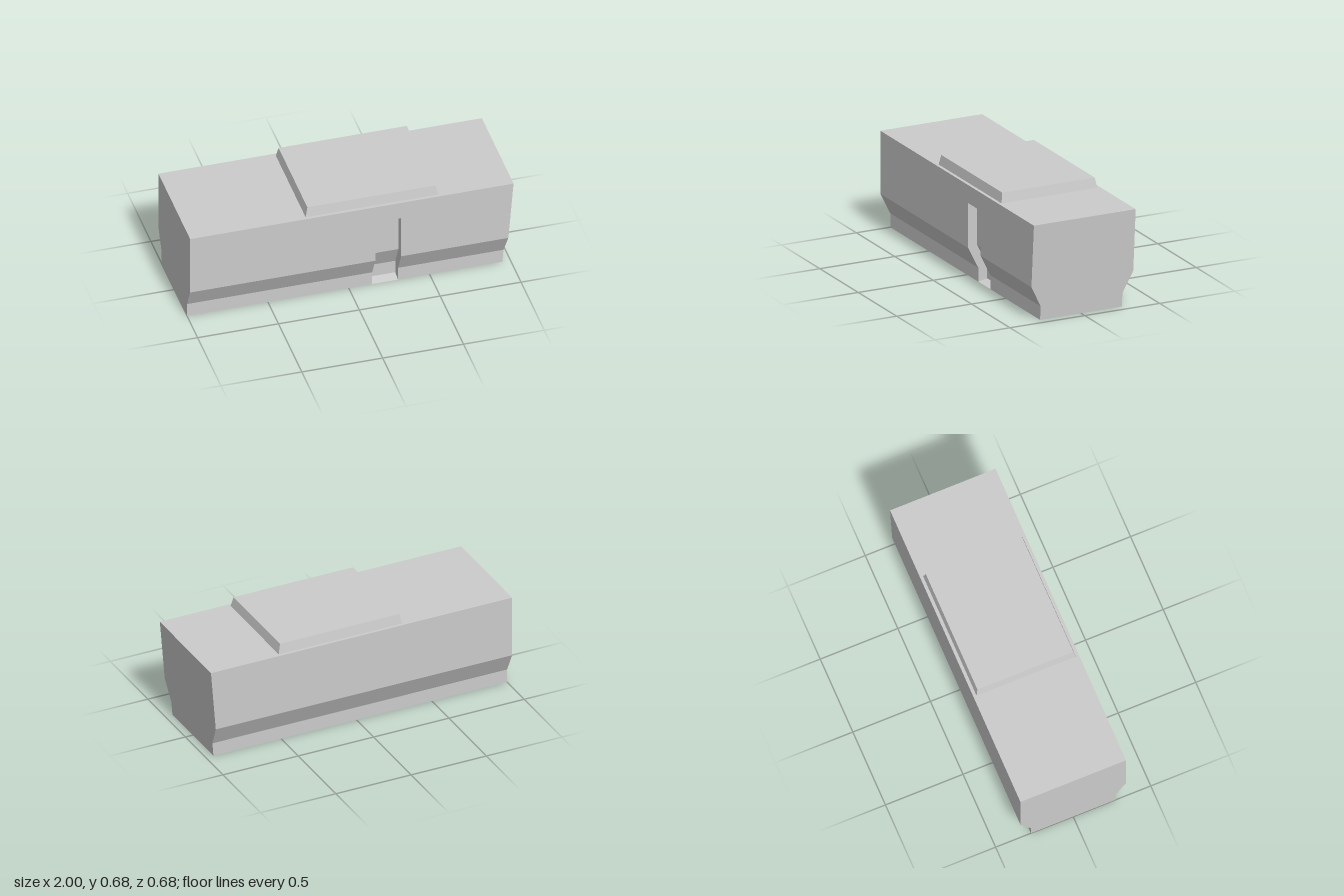
import * as THREE from 'three';

const material = new THREE.MeshStandardMaterial({ color: 0xcccccc, flatShading: true });

// Quads between two matching rails of [x, y, z] points
function strip(out, a, b) {
  for (let i = 0; i < a.length - 1; i++) {
    out.push(...a[i], ...a[i + 1], ...b[i + 1], ...a[i], ...b[i + 1], ...b[i]);
  }
}

// Places a [z, y] profile at x, which may depend on height
const rail = (profile, x) => profile.map(([z, y]) => [typeof x === 'function' ? x(y) : x, y, z]);

function meshFrom(name, positions) {
  const geometry = new THREE.BufferGeometry();
  geometry.setAttribute('position', new THREE.Float32BufferAttribute(positions, 3));
  geometry.computeVertexNormals();
  const mesh = new THREE.Mesh(geometry, material);
  mesh.name = name;
  return mesh;
}

export function createModel() {
  const group = new THREE.Group();
  group.name = 'body';

  const left = -1;
  const right = (y) => 0.95 + 0.05 * (y / 0.615); // sloping end
  const slotA = 0.145, slotB = 0.305;

  const front = [[0.34, 0.615], [0.34, 0.502], [0.34, 0.22], [0.273, 0.087], [0.273, 0]];
  const back = front.map(([z, y]) => [-z, y]);
  const lower = front.slice(1);
  const inner = [[0.28, 0.502], [0.28, 0.231], [0.213, 0.097], [0.213, 0.012]];

  // Hull: upper front band, lower front either side of the slot, then bottom, back and top
  const hull = [];
  strip(hull, rail(front.slice(0, 2), left), rail(front.slice(0, 2), right));
  strip(hull, rail(lower, left), rail(lower, slotA));
  strip(hull, rail(lower, slotB), rail(lower, right));
  const rest = [front[4], ...[...back].reverse(), front[0]];
  strip(hull, rail(rest, left), rail(rest, right));
  // End faces
  strip(hull, rail(front, right), rail(back, right));
  strip(hull, rail(back, left), rail(front, left));
  group.add(meshFrom('hull', hull));

  // Recessed slot: ceiling, back and floor, then the two side walls
  const slot = [];
  const lining = [lower[0], ...inner, lower[3]];
  strip(slot, rail(lining, slotA), rail(lining, slotB));
  strip(slot, rail(lower, slotA), rail(inner, slotA));
  strip(slot, rail(inner, slotB), rail(lower, slotB));
  group.add(meshFrom('doorRecess', slot));

  // Raised roof panel with tapered sides
  const panelGeometry = new THREE.BoxGeometry(0.82, 0.062, 0.64);
  const p = panelGeometry.attributes.position;
  for (let i = 0; i < p.count; i++) {
    if (p.getY(i) > 0) {
      p.setX(i, p.getX(i) - Math.sign(p.getX(i)) * 0.014);
      p.setZ(i, p.getZ(i) - Math.sign(p.getZ(i)) * 0.011);
    }
  }
  panelGeometry.computeVertexNormals();
  const panel = new THREE.Mesh(panelGeometry, material);
  panel.name = 'roofPanel';
  panel.position.set(0.13, 0.646, 0);
  group.add(panel);

  return group;
}
